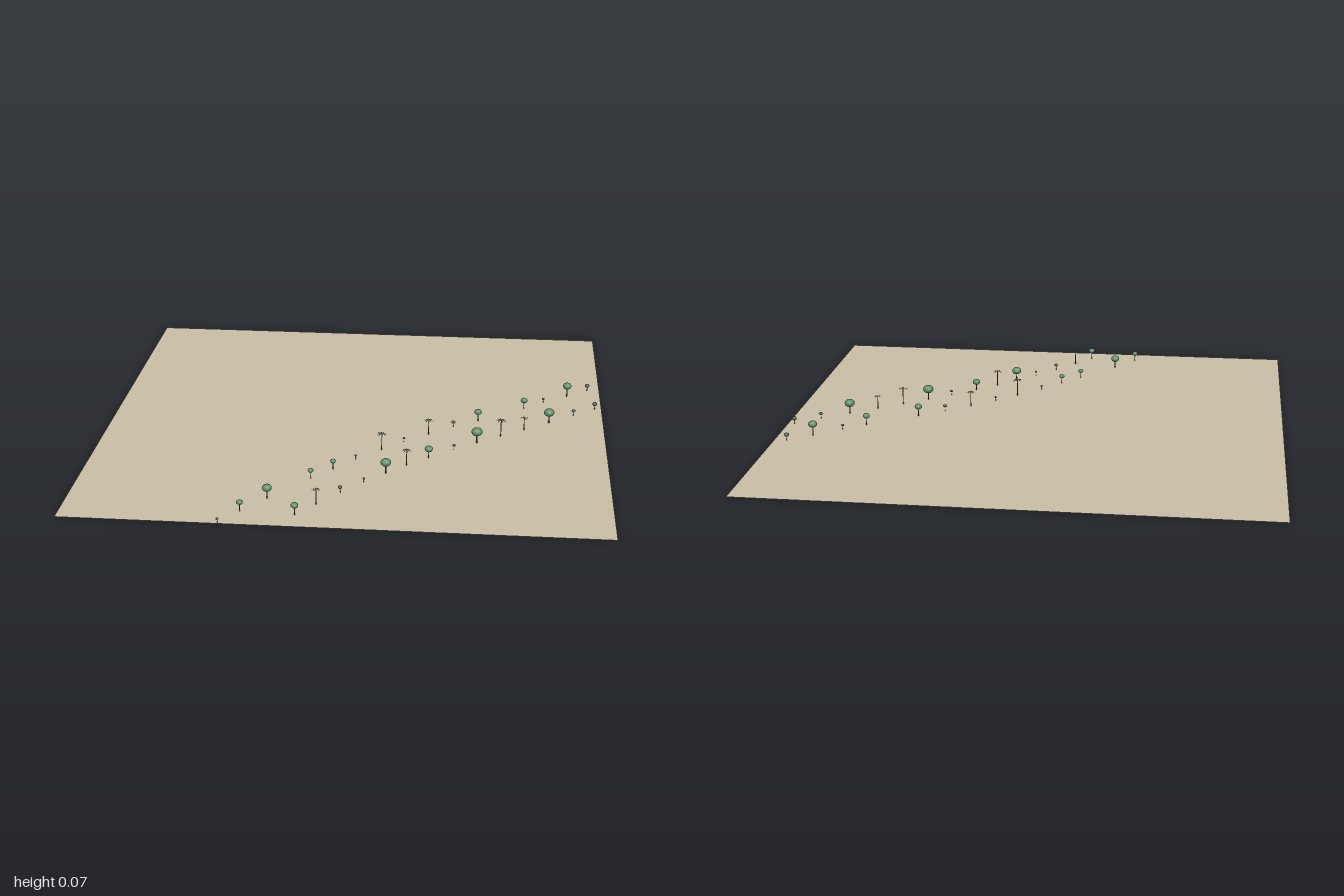
import * as THREE from 'three';

const mat = (color, extra = {}) => new THREE.MeshStandardMaterial({ color, ...extra });
const sand = mat(0xc8bda6, { side: THREE.DoubleSide });
const bark = mat(0x6b5a48);
const leaf = mat(0x5f8f66);
const shrubLeaf = mat(0x4a6450);
const palmLeaf = mat(0x5c7058, { side: THREE.DoubleSide });

// x, z, crown height, crown radius
const TREES = [
  [0.861, -0.307, 0.048, 0.018], [0.780, -0.016, 0.046, 0.021], [0.492, 0.209, 0.047, 0.022],
  [0.492, -0.011, 0.040, 0.015], [0.310, 0.369, 0.037, 0.016], [0.155, 0.527, 0.046, 0.020],
  [-0.262, 0.780, 0.042, 0.018], [-0.345, 0.895, 0.036, 0.012], [-0.144, 0.908, 0.039, 0.014],
  [-0.123, 0.598, 0.034, 0.011], [-0.048, 0.508, 0.034, 0.011], [0.679, -0.153, 0.039, 0.014],
];
// x, z, height, frond length
const PALMS = [
  [0.123, 0.313, 0.072, 0.022], [0.298, 0.143, 0.064, 0.020], [0.586, 0.136, 0.072, 0.022],
  [0.679, 0.064, 0.055, 0.016], [0.229, 0.447, 0.066, 0.020], [-0.077, 0.815, 0.063, 0.018],
];
// x, z, crown height, crown radius
const SHRUBS = [
  [0.949, -0.378, 0.024, 0.010], [0.972, -0.177, 0.024, 0.010], [0.882, -0.098, 0.023, 0.008],
  [0.760, -0.223, 0.020, 0.006], [0.394, 0.063, 0.023, 0.008], [0.405, 0.283, 0.018, 0.006],
  [0.205, 0.228, 0.016, 0.005], [0.030, 0.410, 0.016, 0.005], [0.080, 0.616, 0.017, 0.005],
  [0.000, 0.711, 0.023, 0.008], [-0.410, 0.994, 0.016, 0.005],
];

function add(parent, name, geometry, material) {
  const mesh = new THREE.Mesh(geometry, material);
  mesh.name = name;
  parent.add(mesh);
  return mesh;
}

function trunk(parent, height, radius) {
  const mesh = add(parent, 'trunk', new THREE.CylinderGeometry(radius * 0.7, radius, height, 7), bark);
  mesh.position.y = height / 2;
}

// Bare stem carrying a flattened round crown
function roundTree(name, y, r, material) {
  const tree = new THREE.Group();
  tree.name = name;
  trunk(tree, y, Math.max(0.001, r * 0.13));
  const crown = add(tree, 'crown', new THREE.SphereGeometry(r, 14, 10), material);
  crown.scale.y = 0.78;
  crown.position.y = y;
  return tree;
}

// Narrow frond along +x, rising slightly then drooping at its tip
function frondGeometry(length) {
  const geo = new THREE.PlaneGeometry(length, length * 0.2, 5, 2);
  geo.rotateX(-Math.PI / 2).translate(length / 2, 0, 0);
  const p = geo.attributes.position;
  for (let i = 0; i < p.count; i++) {
    const t = p.getX(i) / length;
    const z = p.getZ(i) * (0.25 + 0.75 * Math.sin(Math.PI * t));
    p.setZ(i, z);
    p.setY(i, length * (0.3 * t - 0.5 * t * t) - Math.abs(z) * 0.4);
  }
  geo.computeVertexNormals();
  return geo;
}

function palm(height, length) {
  const tree = new THREE.Group();
  tree.name = 'palm';
  const top = height - length * 0.06;
  trunk(tree, top, 0.002);
  const geo = frondGeometry(length);
  for (let i = 0; i < 8; i++) {
    const frond = add(tree, 'frond', geo, palmLeaf);
    frond.position.y = top;
    frond.rotation.y = (i * Math.PI) / 4 + 0.2;
  }
  return tree;
}

export function createModel() {
  const model = new THREE.Group();
  model.name = 'plantedGround';

  add(model, 'ground', new THREE.PlaneGeometry(2, 2).rotateX(-Math.PI / 2), sand);

  const plant = (object, x, z) => {
    object.position.set(x, 0, z);
    model.add(object);
  };
  for (const [x, z, y, r] of TREES) plant(roundTree('tree', y, r, leaf), x, z);
  for (const [x, z, y, r] of SHRUBS) plant(roundTree('shrub', y, r, shrubLeaf), x, z);
  for (const [x, z, h, l] of PALMS) plant(palm(h, l), x, z);

  return model;
}
